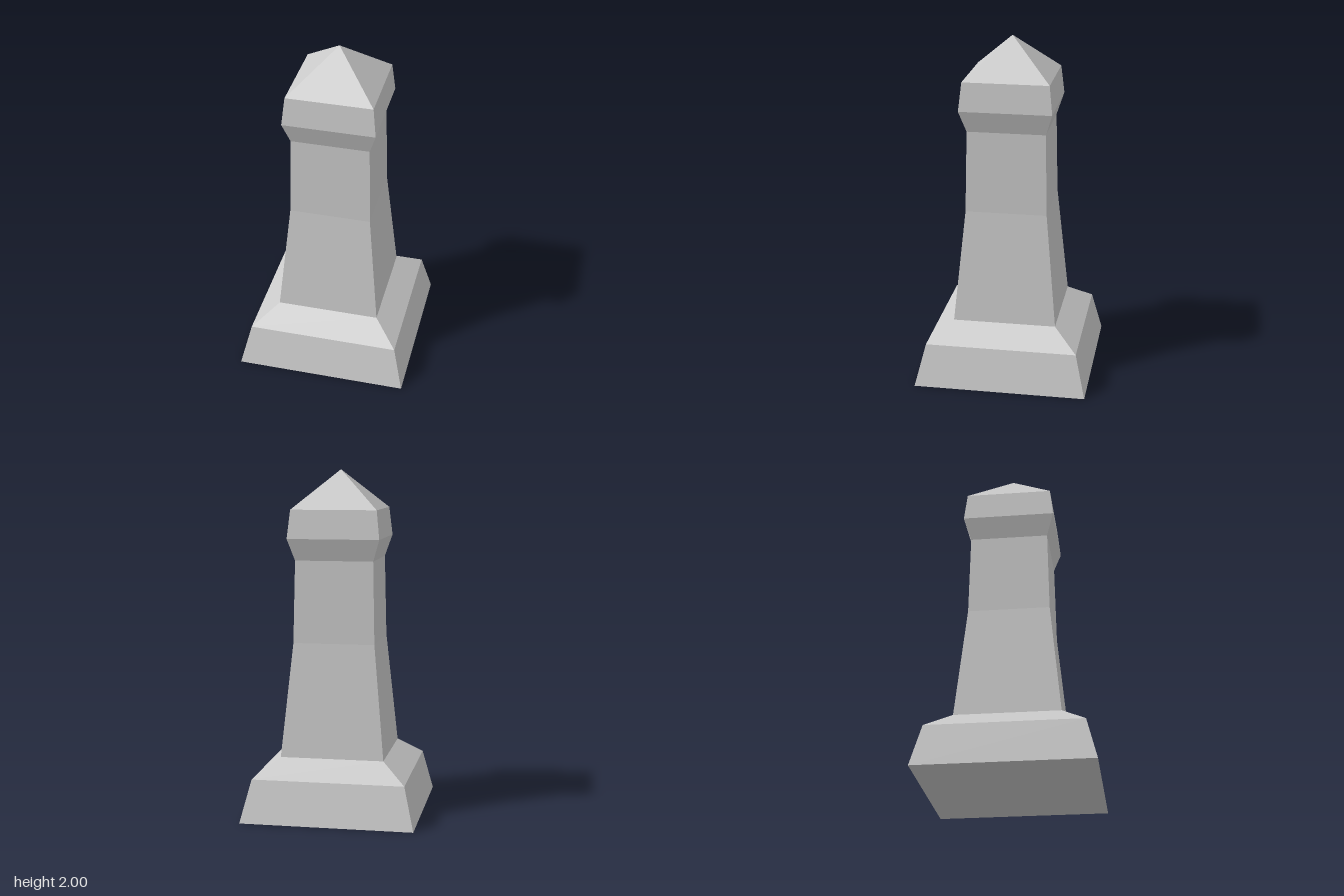
import * as THREE from 'three';
import { mergeGeometries } from 'three/addons/utils/BufferGeometryUtils.js';

const material = new THREE.MeshStandardMaterial({ color: 0xcccccc, flatShading: true });

// Stack of open square frustums through [halfWidth, y] rings, bottom to top.
function squareStack(name, rings) {
  const pieces = [];
  for (let i = 0; i < rings.length - 1; i++) {
    const [w0, y0] = rings[i];
    const [w1, y1] = rings[i + 1];
    const piece = new THREE.CylinderGeometry(
      w1 * Math.SQRT2, w0 * Math.SQRT2, y1 - y0, 4, 1, true, Math.PI / 4);
    piece.translate(0, (y0 + y1) / 2, 0);
    pieces.push(piece.toNonIndexed());
  }
  const geometry = mergeGeometries(pieces);
  geometry.computeVertexNormals();
  const mesh = new THREE.Mesh(geometry, material);
  mesh.name = name;
  return mesh;
}

export function createModel() {
  const model = new THREE.Group();
  model.name = 'stonePost';

  // Sloping plinth with a chamfered shoulder
  model.add(squareStack('plinth', [[0.5, 0], [0.44, 0.245], [0.3, 0.35]]));

  // Tapering shaft, steeper in its upper half
  model.add(squareStack('shaft', [[0.3, 0.35], [0.236, 1.01], [0.226, 1.485]]));

  // Flared head
  model.add(squareStack('head', [[0.226, 1.485], [0.266, 1.61], [0.248, 1.775]]));

  // Pyramid cap
  model.add(squareStack('cap', [[0.248, 1.775], [0, 2]]));

  // Underside
  const underside = new THREE.Mesh(new THREE.PlaneGeometry(1, 1), material);
  underside.rotation.x = Math.PI / 2;
  underside.name = 'underside';
  model.add(underside);

  return model;
}
